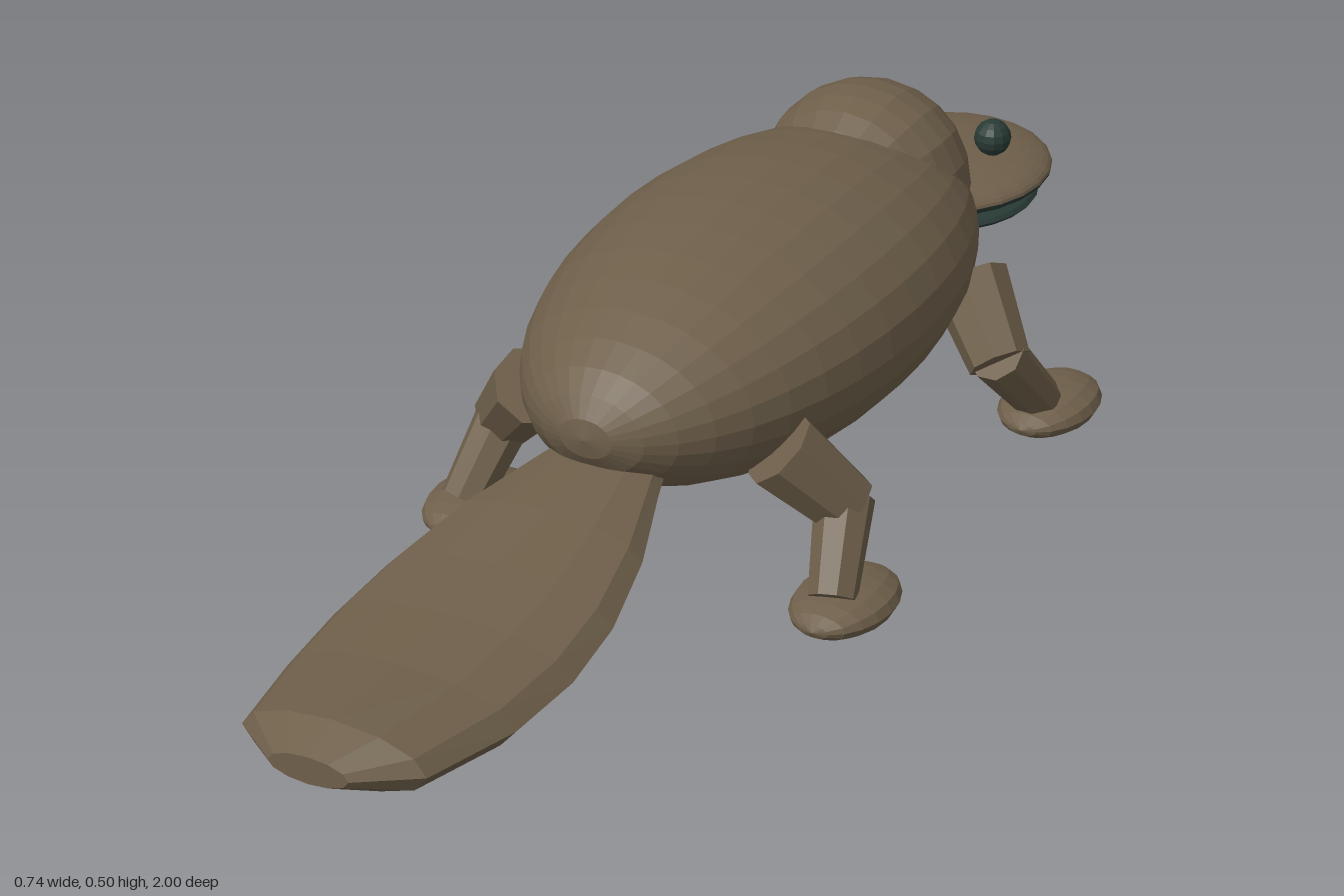
import * as THREE from 'three';

const fur = new THREE.MeshStandardMaterial({ color: 0x6e5f4a, flatShading: true });
fur.name = 'brownFur';
const dark = new THREE.MeshStandardMaterial({ color: 0x293a35, flatShading: true });
dark.name = 'darkSkin';

function add(parent, name, geometry, material) {
  const mesh = new THREE.Mesh(geometry, material);
  mesh.name = name;
  parent.add(mesh);
  return mesh;
}

// Ellipsoid with its poles along z, or along y when upright
function ellipsoid(r, c, w, h, upright = false, start = 0, sweep = Math.PI) {
  const g = new THREE.SphereGeometry(1, w, h, 0, Math.PI * 2, start, sweep);
  if (!upright) g.rotateX(Math.PI / 2);
  return g.scale(...r).translate(...c);
}

// Tapered limb segment from a to b
function limb(a, b, ra, rb) {
  const from = new THREE.Vector3(...a), to = new THREE.Vector3(...b);
  const dir = to.clone().sub(from);
  const g = new THREE.CylinderGeometry(rb, ra, dir.length(), 8);
  g.applyQuaternion(new THREE.Quaternion().setFromUnitVectors(new THREE.Vector3(0, 1, 0), dir.normalize()));
  const mid = from.add(to).multiplyScalar(0.5);
  return g.translate(mid.x, mid.y, mid.z);
}

// Flat paddle lofted through elliptical sections [z, y, half width, half height]
function tailGeometry() {
  const sections = [
    [0.18, 0.245, 0.07, 0.028], [0.27, 0.232, 0.1, 0.031], [0.4, 0.205, 0.147, 0.042],
    [0.53, 0.178, 0.175, 0.049], [0.65, 0.161, 0.183, 0.053], [0.78, 0.153, 0.173, 0.053],
    [0.94, 0.161, 0.138, 0.046], [1.0, 0.164, 0.06, 0.02],
  ];
  const n = 12, pos = [], idx = [];
  for (const [z, y, w, h] of sections) {
    for (let i = 0; i < n; i++) {
      const t = (i / n) * Math.PI * 2;
      pos.push(w * Math.cos(t), y + h * Math.sin(t), z);
    }
  }
  for (let s = 0; s < sections.length - 1; s++) {
    for (let i = 0; i < n; i++) {
      const j = (i + 1) % n, a = s * n + i, b = s * n + j;
      idx.push(a, b, b + n, a, b + n, a + n);
    }
  }
  const last = (sections.length - 1) * n;
  for (let i = 1; i < n - 1; i++) {
    idx.push(last, last + i, last + i + 1);
    idx.push(0, i + 1, i);
  }
  const g = new THREE.BufferGeometry();
  g.setAttribute('position', new THREE.Float32BufferAttribute(pos, 3));
  g.setIndex(idx);
  g.computeVertexNormals();
  return g;
}

export function createModel() {
  const model = new THREE.Group();
  model.name = 'swimmingAnimal';

  // Torso, head and tail
  add(model, 'body', ellipsoid([0.262, 0.185, 0.5], [0, 0.305, -0.2], 28, 20), fur);
  add(model, 'head', ellipsoid([0.157, 0.155, 0.16], [0, 0.346, -0.545], 20, 14), fur);
  add(model, 'tail', tailGeometry(), fur);

  // Bill: brown above, dark beneath
  const half = Math.PI / 2;
  const bill = [0.162, 0.035, 0.18], at = [0, 0.263, -0.82];
  add(model, 'upperBillTop', ellipsoid(bill, at, 24, 12, true, 0, half), fur);
  add(model, 'upperBillUnderside', ellipsoid(bill, at, 24, 12, true, half, half), dark);
  add(model, 'lowerBill', ellipsoid([0.138, 0.023, 0.155], [0, 0.218, -0.832], 24, 12, true), dark);

  for (const side of [1, -1]) {
    add(model, side > 0 ? 'leftEye' : 'rightEye',
      ellipsoid([0.028, 0.028, 0.028], [side * 0.135, 0.385, -0.7], 12, 8, true), dark);

    // Legs: hip, knee, ankle and foot positions along z
    for (const [name, hip, knee, ankle, foot] of [
      ['FrontLeg', -0.5, -0.445, -0.545, -0.583],
      ['HindLeg', 0.1, 0.045, 0.13, 0.09],
    ]) {
      const leg = new THREE.Group();
      leg.name = (side > 0 ? 'left' : 'right') + name;
      const kneeAt = [side * 0.275, 0.155, knee];
      add(leg, 'upperLeg', limb([side * 0.195, 0.25, hip], kneeAt, 0.06, 0.047), fur);
      add(leg, 'lowerLeg', limb([side * 0.27, 0.168, knee], [side * 0.296, 0.055, ankle], 0.043, 0.035), fur);
      add(leg, 'foot', ellipsoid([0.072, 0.032, 0.103], [side * 0.296, 0.032, foot], 14, 10), fur);
      model.add(leg);
    }
  }
  return model;
}
